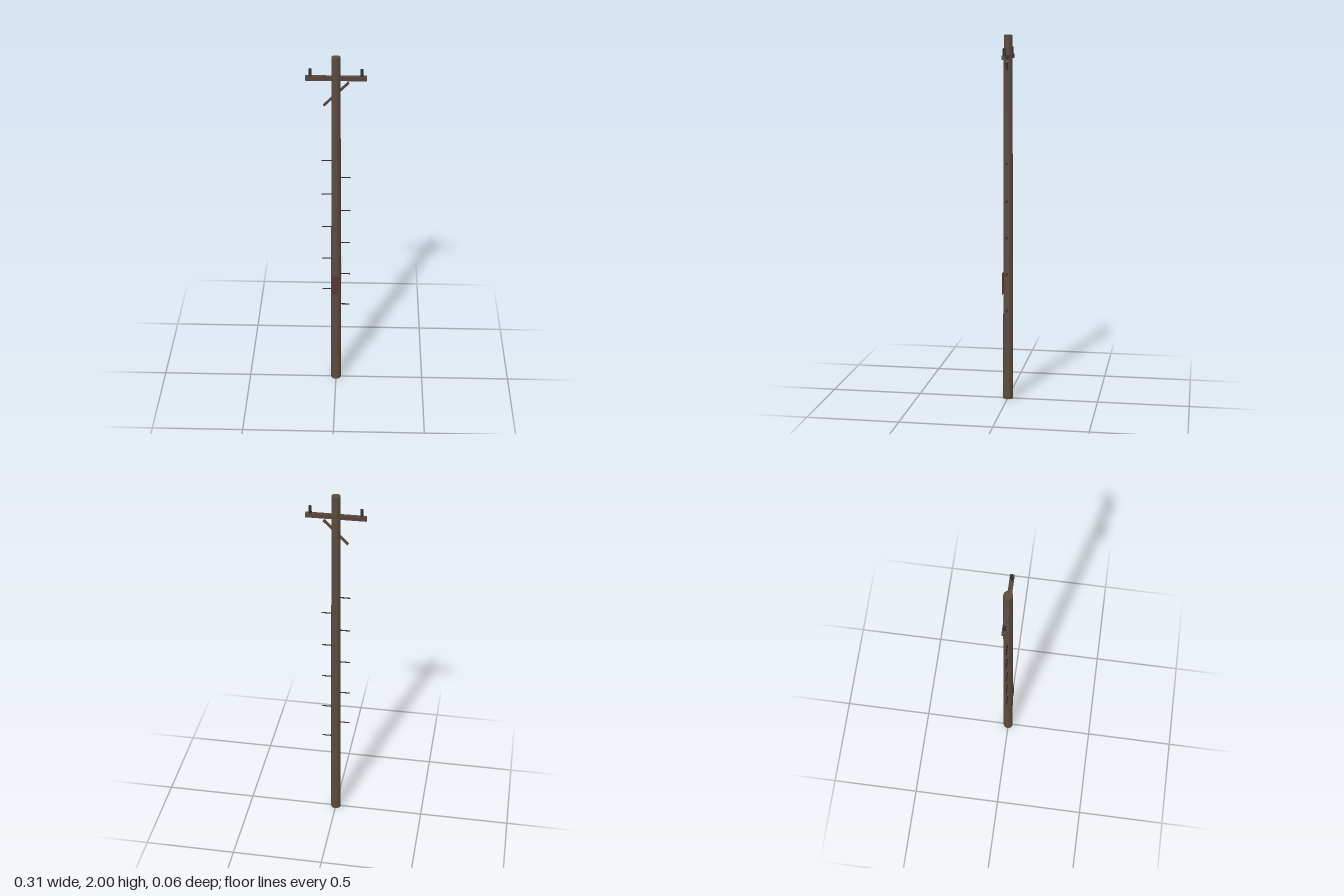
import * as THREE from 'three';

export function createModel() {
  const group = new THREE.Group();
  const mat = (color) => new THREE.MeshStandardMaterial({ color });
  const wood = mat(0x5c4b3d), armWood = mat(0x58443a), darkMetal = mat(0x2c3236);
  const rungMetal = mat(0x25201e), plateRed = mat(0x5a3830);
  const Z = -0.0015; // pole axis, offset by the plate on the front

  const add = (name, geometry, material, x, y, z = Z) => {
    const mesh = new THREE.Mesh(geometry, material);
    mesh.name = name;
    mesh.position.set(x, y, z);
    group.add(mesh);
    return mesh;
  };

  // Tapered pole
  add('pole', new THREE.CylinderGeometry(0.0235, 0.0285, 2, 12), wood, 0, 1);

  // Crossarm with a diagonal brace through the pole
  add('crossarm', new THREE.BoxGeometry(0.314, 0.022, 0.022), armWood, 0, 1.885);
  const brace = add('brace', new THREE.BoxGeometry(0.18, 0.011, 0.011), armWood, 0, 1.797);
  brace.rotation.z = Math.PI / 4;

  // Insulators on the arm ends
  for (const side of [-1, 1]) {
    add('insulator', new THREE.CylinderGeometry(0.0075, 0.0085, 0.04, 10), darkMetal, side * 0.132, 1.915);
  }

  // Climbing rungs, alternating sides
  for (let i = 0; i < 10; i++) {
    const side = i % 2 ? -1 : 1;
    const rung = add('climbingRung', new THREE.CylinderGeometry(0.003, 0.003, 0.06, 6), rungMetal, side * 0.047, 0.508 + i * 0.1008);
    rung.rotation.z = Math.PI / 2;
  }

  // Marker plate on the front
  add('markerPlate', new THREE.BoxGeometry(0.042, 0.12, 0.003), plateRed, 0, 0.65, 0.029);

  return group;
}
